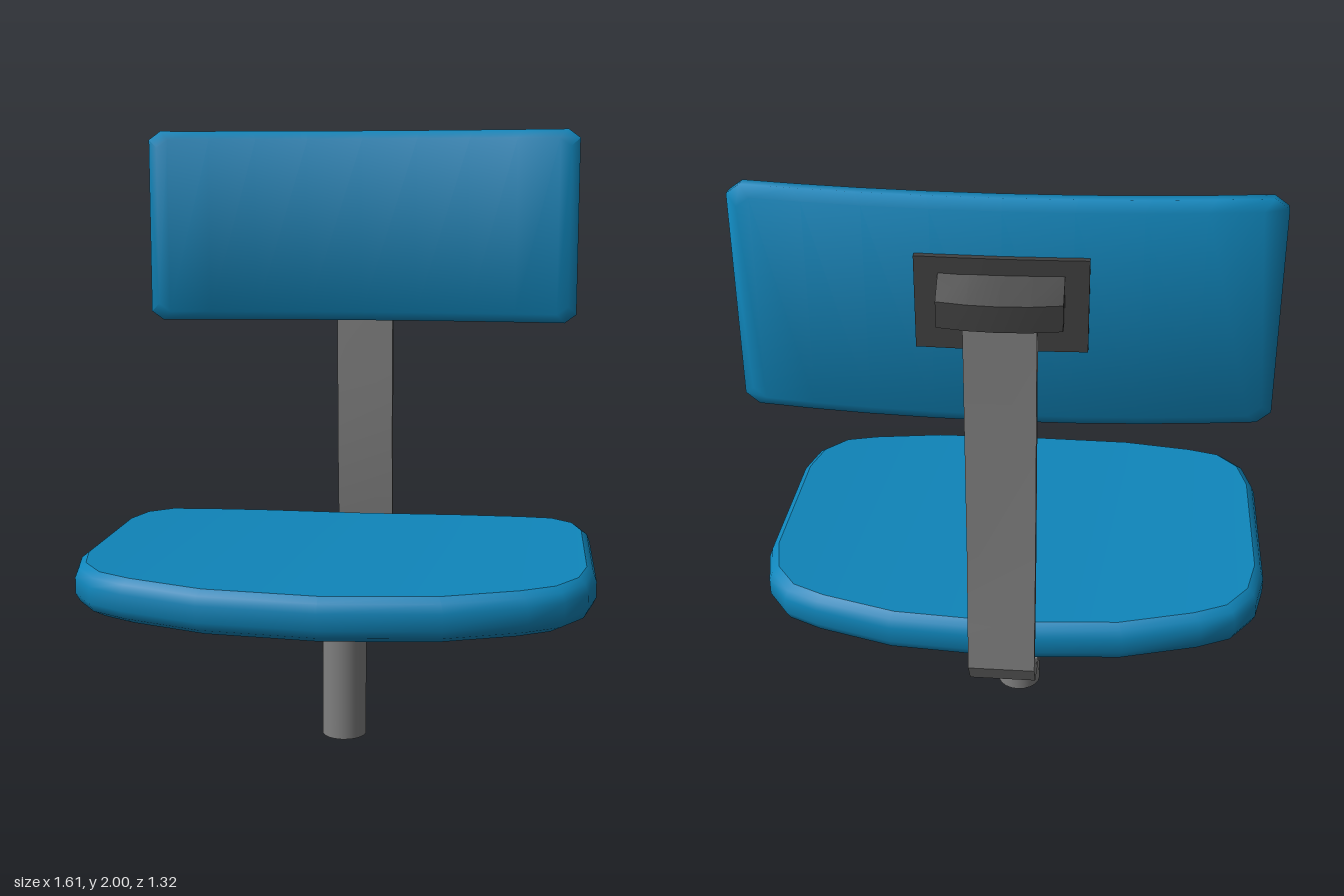
import * as THREE from 'three';
import { mergeGeometries, toCreasedNormals } from 'three/addons/utils/BufferGeometryUtils.js';

const mat = (name, color, extra = {}) => {
  const m = new THREE.MeshStandardMaterial({ color, ...extra });
  m.name = name;
  return m;
};

// Move every vertex by a rule
function bend(geo, rule) {
  const p = geo.attributes.position, v = new THREE.Vector3();
  for (let i = 0; i < p.count; i++) {
    rule(v.fromBufferAttribute(p, i));
    p.setXYZ(i, v.x, v.y, v.z);
  }
  return geo;
}

// Cushion: a quarter outline [x, z] mirrored both ways, lofted through rings
// of [inset, height], with its ends curling up by curl * x * x.
function cushion(quarter, rings, curl, smoothCaps) {
  const half = [...quarter.slice(1).reverse().map(([x, z]) => [-x, z]), ...quarter];
  const n = half.length, N = 2 * n;
  const outline = [...half, ...half.map(([x, z]) => [x, -z]).reverse()];
  const [w, d] = [quarter[quarter.length - 1][0], quarter[0][1]];
  const pos = [], rim = [], caps = [];
  for (const [inset, y] of rings) {
    for (const [x, z] of outline) {
      const px = x * (1 - inset / w);
      pos.push(px, y + curl * px * px, z * (1 - inset / d));
    }
  }
  for (let r = 0; r < rings.length - 1; r++) {
    for (let i = 0; i < N; i++) {
      const a = r * N + i, b = r * N + (i + 1) % N;
      rim.push(a, b, b + N, a, b + N, a + N);
    }
  }
  const top = (rings.length - 1) * N;
  for (let i = 0; i < n - 1; i++) {
    const q = [i, i + 1, N - 2 - i, N - 1 - i];
    caps.push(...[0, 1, 2, 0, 2, 3].map(k => top + q[k]));
    caps.push(...[0, 2, 1, 0, 3, 2].map(k => q[k]));
  }
  const build = index => {
    const g = new THREE.BufferGeometry();
    g.setAttribute('position', new THREE.Float32BufferAttribute(pos, 3));
    g.setIndex(index);
    return toCreasedNormals(g, 1.3);
  };
  return smoothCaps ? build([...rim, ...caps]) : mergeGeometries([build(rim), build(caps)]);
}

// Side profile of [z, y] points, extruded across x
function sideExtrude(points, width, steps = 1) {
  const shape = new THREE.Shape(points.map(([z, y]) => new THREE.Vector2(z, y)));
  return new THREE.ExtrudeGeometry(shape, { depth: width, steps, bevelEnabled: false })
    .translate(0, 0, -width / 2).rotateY(-Math.PI / 2);
}

export function createModel() {
  const group = new THREE.Group();
  const blue = mat('blue upholstery', 0x0f85ba);
  const steel = mat('grey steel', 0x808080);
  const black = mat('black bracket', 0x404040);
  const add = (name, geo, material) => {
    const m = new THREE.Mesh(geo, material);
    m.name = name;
    group.add(m);
    return m;
  };

  // Seat
  const seat = cushion(
    [[0, 0.61], [0.36, 0.592], [0.6, 0.535], [0.705, 0.492], [0.775, 0.4], [0.805, 0.265]],
    [[0.045, 0.496], [0.012, 0.515], [0, 0.54], [0, 0.59], [0.01, 0.618], [0.03, 0.635]],
    0.05, false);
  add('seat', seat, blue).position.z = 0.05;

  // Backrest
  const back = cushion(
    [[0, 0.33], [0.2, 0.33], [0.39, 0.33], [0.56, 0.33], [0.71, 0.33], [0.75, 0.3]],
    [[0.03, -0.56], [0, -0.542], [0, -0.506], [0.03, -0.487]],
    0.105, true).rotateX(Math.PI / 2);
  add('backrest', back, blue).position.y = 1.67;

  // Post
  add('post', new THREE.CylinderGeometry(0.073, 0.073, 0.45, 20).translate(0, 0.225, 0.01), steel);

  // Bent strap from under the seat up to the backrest
  const strap = sideExtrude([
    [0, 0.447], [-0.47, 0.447], [-0.61, 0.478], [-0.657, 0.55], [-0.648, 0.7], [-0.632, 0.94],
    [-0.632, 1.7], [-0.592, 1.7], [-0.592, 1.17], [-0.597, 0.94], [-0.612, 0.72], [-0.627, 0.585],
    [-0.578, 0.508], [-0.47, 0.488], [0, 0.488],
  ], 0.2);
  add('backStrap', toCreasedNormals(strap, 0.5), steel);

  // Bracket under the seat
  const under = new THREE.BoxGeometry(0.3, 0.085, 0.26, 4, 1, 1).translate(0, 0.4625, 0.07);
  bend(under, v => { v.y += 0.6 * v.x * v.x; });
  add('seatBracket', toCreasedNormals(under, 0.5), black);

  // Mounting plate and strap holder behind the backrest
  const plate = new THREE.BoxGeometry(0.47, 0.265, 0.022, 4, 1, 1).translate(0, 1.7125, -0.569);
  bend(plate, v => { v.z += 0.1 * v.x * v.x; });
  add('backPlate', toCreasedNormals(plate, 0.5), black);

  const holder = sideExtrude([[-0.57, 1.67], [-0.663, 1.67], [-0.663, 1.745], [-0.57, 1.805]], 0.34, 4);
  bend(holder, v => { if (v.z < -0.6) v.z += 0.7 * v.x * v.x; });
  add('strapHolder', toCreasedNormals(holder, 0.5), black);

  return group;
}
